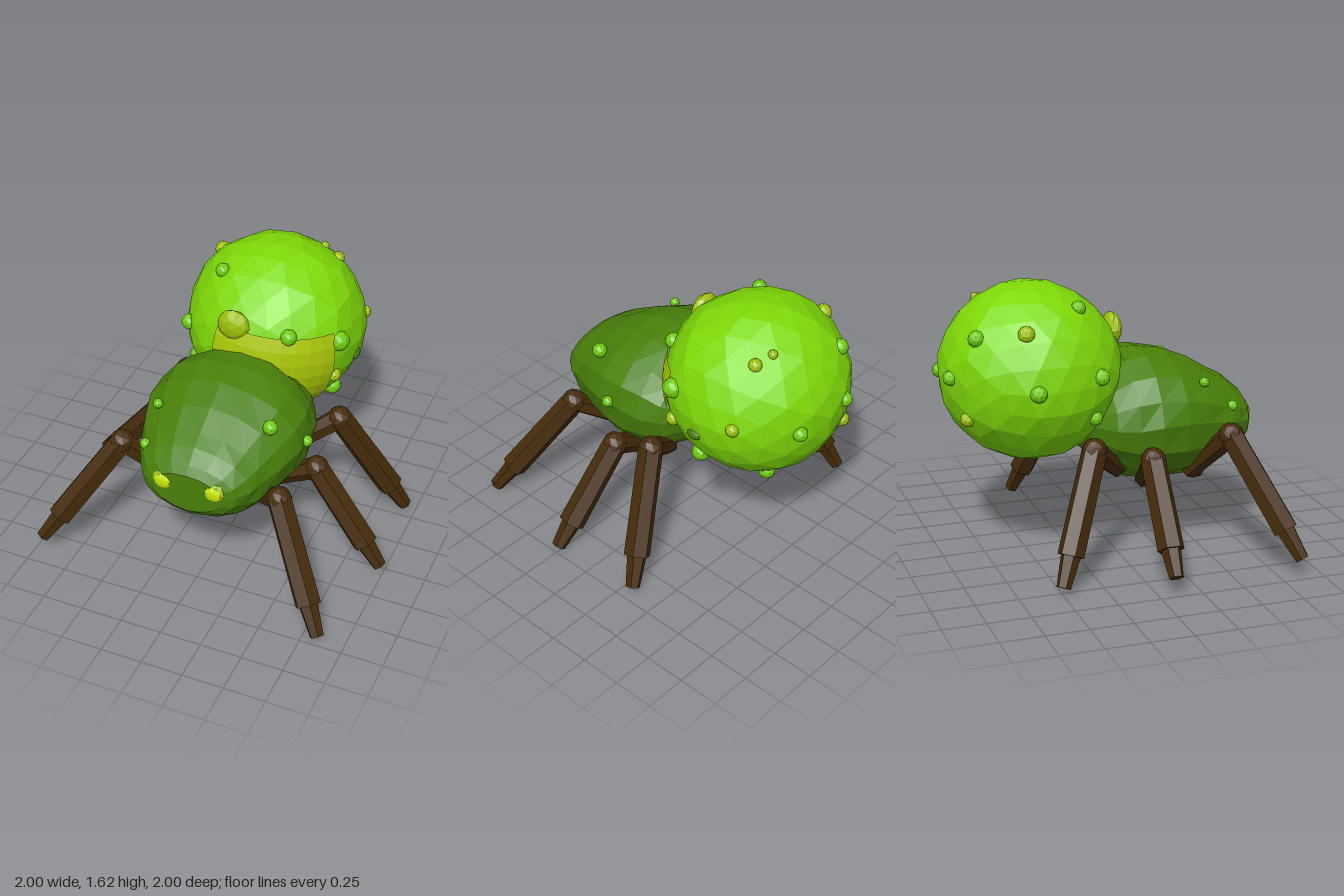
import * as THREE from 'three';

const mat = (name, color) => {
  const m = new THREE.MeshStandardMaterial({ color, flatShading: true });
  m.name = name;
  return m;
};

// Small repeatable wobble so the facets look hand cut
const wobble = (x, y, z) => Math.sin(x * 23.1 + y * 17.7 + z * 29.3);

// Closed body from cross-sections [z, bottom, widest height, top, half width], back to front
function loft(sections, sides) {
  const pos = [], index = [];
  for (const [z, bottom, mid, top, w] of sections) {
    for (let i = 0; i < sides; i++) {
      const a = (i / sides) * Math.PI * 2, c = Math.cos(a), s = Math.sin(a);
      const k = 1 + 0.015 * wobble(c, s, z);
      pos.push(w * c * k, mid + s * (s > 0 ? top - mid : mid - bottom) * k, z);
    }
  }
  for (let r = 0; r < sections.length - 1; r++) {
    for (let i = 0; i < sides; i++) {
      const j = (i + 1) % sides, a = r * sides + i, b = r * sides + j;
      index.push(a, b, a + sides, b, b + sides, a + sides);
    }
  }
  const last = (sections.length - 1) * sides;
  for (let i = 1; i < sides - 1; i++) {
    index.push(0, i + 1, i, last, last + i, last + i + 1);
  }
  const g = new THREE.BufferGeometry();
  g.setAttribute('position', new THREE.Float32BufferAttribute(pos, 3));
  g.setIndex(index);
  g.computeVertexNormals();
  return g;
}

export function createModel() {
  const root = new THREE.Group();
  root.name = 'spider';
  const lime = mat('lime abdomen', 0x7fd908);
  const green = mat('dark green body', 0x4a800a);
  const wartGreen = mat('wart green', 0x70cb0e);
  const wartYellow = mat('wart yellow', 0xa0c40c);
  const yellow = mat('yellow patch', 0xacc808);
  const eyeMat = mat('eye yellow', 0xc6e60a);
  const brown = mat('brown legs', 0x452b0a);

  const add = (name, geometry, material, parent = root) => {
    const m = new THREE.Mesh(geometry, material);
    m.name = name;
    parent.add(m);
    return m;
  };

  // Abdomen
  const centre = new THREE.Vector3(0.005, 1.1, -0.455), R = 0.55;
  const squash = new THREE.Vector3(1, 0.965, 0.985);
  const ball = new THREE.IcosahedronGeometry(R, 3);
  const p = ball.attributes.position;
  for (let i = 0; i < p.count; i++) {
    const k = 0.988 + 0.012 * wobble(...[p.getX(i), p.getY(i), p.getZ(i)].map(v => Math.round(v * 1000) / 1000));
    p.setXYZ(i, p.getX(i) * k, p.getY(i) * k, p.getZ(i) * k);
  }
  ball.computeVertexNormals();
  const abdomen = add('abdomen', ball, lime);
  abdomen.position.copy(centre);
  abdomen.scale.copy(squash);

  // Yellow patch above the neck, sloping down to the left side
  const deg = Math.PI / 180;
  const patch = add('neckPatch',
    new THREE.SphereGeometry(R + 0.003, 9, 6, 68 * deg, 82 * deg, 67 * deg, 56 * deg), yellow);
  patch.position.copy(centre);
  patch.scale.copy(squash);
  patch.rotation.z = -0.09;

  // Thorax and head
  add('thorax', loft([
    [-0.24, 0.74, 0.80, 0.86, 0.12],
    [-0.16, 0.60, 0.80, 0.95, 0.30],
    [-0.05, 0.50, 0.80, 1.07, 0.42],
    [0.07, 0.42, 0.80, 1.18, 0.475],
    [0.20, 0.38, 0.82, 1.19, 0.495],
    [0.36, 0.38, 0.82, 1.16, 0.485],
    [0.52, 0.39, 0.80, 1.09, 0.44],
    [0.66, 0.43, 0.77, 1.01, 0.38],
    [0.74, 0.49, 0.76, 0.965, 0.345],
    [0.82, 0.555, 0.75, 0.90, 0.285],
    [0.855, 0.60, 0.74, 0.85, 0.21],
  ], 16), green);

  // Eyes: lime rim with a yellow centre
  for (const x of [-0.15, 0.16]) {
    const rim = add('eyeRim', new THREE.IcosahedronGeometry(0.07, 1), wartYellow);
    rim.position.set(x, 0.765, 0.835);
    rim.scale.z = 0.45;
    const eye = add('eye', new THREE.IcosahedronGeometry(0.052, 1), eyeMat);
    eye.position.set(x, 0.765, 0.85);
    eye.scale.z = 0.45;
  }

  // Warts on the abdomen, as offsets pushed out to its surface: [x, y, z, radius, material]
  const warts = [
    [-0.44, 0.04, 0.30, 0.05, wartGreen], [0.25, 0.2, 0.44, 0.05, wartGreen],
    [0.49, 0.1, 0.22, 0.062, wartGreen], [0.45, -0.14, 0.23, 0.045, wartYellow],
    [0.4, -0.35, 0.08, 0.055, wartGreen], [0.30, 0.38, -0.23, 0.04, wartYellow],
    [0.48, 0.03, -0.23, 0.04, wartYellow], [0.2, -0.43, -0.25, 0.05, wartGreen],
    [0.21, -0.02, -0.49, 0.045, wartGreen], [-0.25, 0.28, -0.38, 0.05, wartGreen],
    [-0.4, 0.32, -0.13, 0.05, wartYellow], [-0.53, 0.0, -0.10, 0.05, wartGreen],
    [-0.25, 0.41, 0.22, 0.045, wartGreen], [-0.15, 0.03, -0.51, 0.045, wartGreen],
    [-0.23, -0.2, -0.43, 0.045, wartYellow], [0.1, -0.52, 0.06, 0.04, wartGreen],
    [-0.42, -0.22, 0.28, 0.045, wartGreen], [0.2, 0.42, -0.27, 0.028, wartYellow],
    [0.52, -0.11, 0.02, 0.04, green],
  ];
  for (const [x, y, z, r, material] of warts) {
    const w = add('abdomenWart', new THREE.IcosahedronGeometry(r, 1), material);
    w.position.set(x, y, z).setLength(R * 0.975).multiply(squash).add(centre);
    if (material === green) w.scale.set(0.5, 0.8, 1.2);
  }
  const bigWart = add('largeWart', new THREE.IcosahedronGeometry(0.1, 1), wartYellow);
  bigWart.position.set(-0.07, 1.325, 0.025);
  bigWart.scale.z = 0.55;

  // Warts on the thorax
  for (const [x, y, z, r] of [[0.35, 1.03, 0.48, 0.045], [0.495, 0.835, 0.28, 0.035],
    [-0.33, 1.02, 0.51, 0.03], [-0.33, 0.86, 0.69, 0.033], [0.36, 0.55, 0.3, 0.03]]) {
    add('thoraxWart', new THREE.IcosahedronGeometry(r, 1), wartGreen).position.set(x, y, z);
  }

  // Legs: thin inner segment, thick shin and a tapered foot
  const up = new THREE.Vector3(0, 1, 0);
  const limb = (name, a, b, ra, rb, parent) => {
    const d = b.clone().sub(a);
    const m = add(name, new THREE.CylinderGeometry(rb, ra, d.length(), 6), brown, parent);
    m.position.copy(a).add(b).multiplyScalar(0.5);
    m.quaternion.setFromUnitVectors(up, d.normalize());
  };
  const legs = [
    ['frontLeftLeg', [0.24, 0.5, 0.44], [0.46, 0.65, 0.61], [0.84, 0.025, 0.955]],
    ['middleLeftLeg', [0.26, 0.44, 0.2], [0.53, 0.585, 0.195], [0.97, 0.025, 0.26]],
    ['backLeftLeg', [0.27, 0.53, 0.0], [0.55, 0.735, -0.12], [0.93, 0.035, -0.32]],
    ['frontRightLeg', [-0.26, 0.46, 0.45], [-0.53, 0.75, 0.60], [-0.95, 0.1, 0.88]],
    ['middleRightLeg', [-0.26, 0.44, 0.16], [-0.53, 0.65, 0.12], [-0.97, 0.1, 0.1]],
    ['backRightLeg', [-0.25, 0.52, 0.0], [-0.49, 0.73, -0.22], [-0.75, 0.03, -0.49]],
  ];
  for (const [name, h, k, f] of legs) {
    const leg = new THREE.Group();
    leg.name = name;
    root.add(leg);
    const [hip, knee, foot] = [h, k, f].map(v => new THREE.Vector3(...v));
    limb('innerSegment', hip, knee, 0.055, 0.065, leg);
    limb('shin', knee, knee.clone().lerp(foot, 0.77), 0.074, 0.078, leg);
    limb('foot', knee.clone().lerp(foot, 0.74), foot, 0.06, 0.042, leg);
    add('knee', new THREE.IcosahedronGeometry(0.074, 1), brown, leg).position.copy(knee);
  }
  return root;
}
